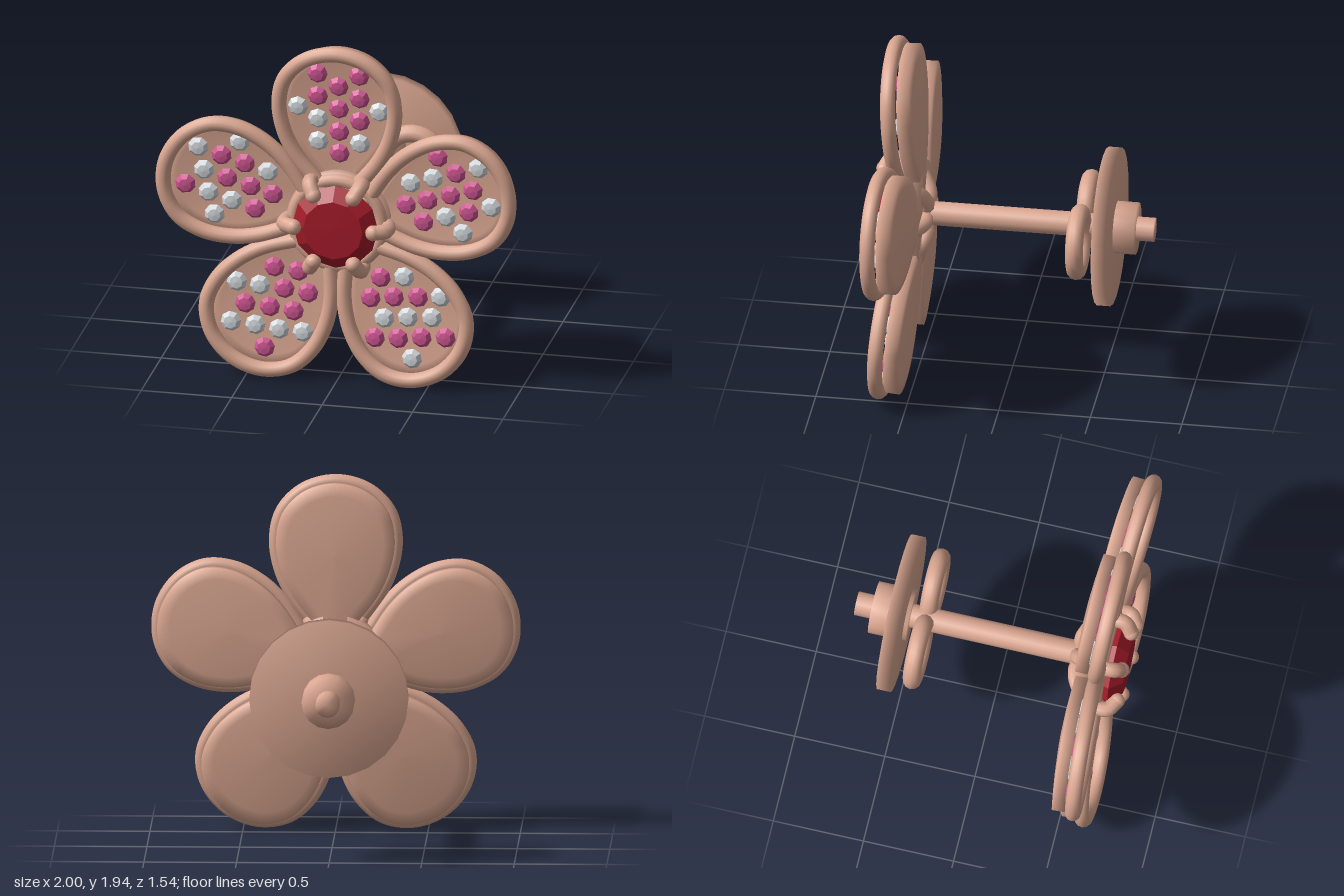
import * as THREE from 'three';
import { mergeVertices } from 'three/addons/utils/BufferGeometryUtils.js';

const mat = (name, color, flatShading = false) => {
  const m = new THREE.MeshStandardMaterial({ color, flatShading });
  m.name = name;
  return m;
};

function add(parent, name, geometry, material, x = 0, y = 0, z = 0) {
  const mesh = new THREE.Mesh(geometry, material);
  mesh.name = name;
  mesh.position.set(x, y, z);
  parent.add(mesh);
  return mesh;
}

// cylinder along z between two depths, with normals blended over its edges
function rod(radius, z0, z1, sides) {
  const g = new THREE.CylinderGeometry(radius, radius, z1 - z0, sides);
  g.rotateX(Math.PI / 2).translate(0, 0, (z0 + z1) / 2);
  g.deleteAttribute('normal');
  g.deleteAttribute('uv');
  const welded = mergeVertices(g);
  welded.computeVertexNormals();
  return welded;
}

// faceted stone facing +z, from [radius, depth] pairs
function cutStone(profile, sides) {
  const g = new THREE.LatheGeometry(profile.map(([r, z]) => new THREE.Vector2(r, z)), sides);
  return g.rotateX(Math.PI / 2);
}

// teardrop centre line of the rim, counterclockwise from the outer end
function petalCurve() {
  const half = [[0.17, 0.945], [0.285, 0.83], [0.32, 0.68], [0.295, 0.52], [0.23, 0.38], [0.13, 0.25], [0.03, 0.14]];
  const left = half.map(([x, y]) => new THREE.Vector3(-x, y, 0));
  const right = half.map(([x, y]) => new THREE.Vector3(x, y, 0)).reverse();
  return new THREE.CatmullRomCurve3([new THREE.Vector3(0, 0.99, 0), ...left, ...right], true);
}

// shallow dish: front rings run outwards, back rings run inwards
function petalDish(curve) {
  const n = 72, midY = 0.6;
  const outline = curve.getSpacedPoints(n).slice(0, n);
  const steps = [0, 0.3, 0.6, 0.82, 1];
  const rings = [
    ...steps.map(s => [s, -0.047 - 0.02 * (1 - s * s)]),
    ...steps.slice().reverse().map(s => [s, -0.114 - 0.022 * (1 - s * s)]),
  ];
  const pos = [], index = [];
  rings.forEach(([s, z], j) => outline.forEach((p, i) => {
    pos.push(p.x * s, midY + (p.y - midY) * s, z);
    if (j === rings.length - 1) return;
    const a = j * n + i, b = j * n + (i + 1) % n;
    index.push(a, a + n, b + n, a, b + n, b);
  }));
  const g = new THREE.BufferGeometry();
  g.setAttribute('position', new THREE.Float32BufferAttribute(pos, 3));
  g.setIndex(index);
  g.computeVertexNormals();
  return g;
}

export function createModel() {
  const gold = mat('rose gold', 0xdba791);
  const red = mat('red stone', 0xa51b2a, true);
  const pink = mat('pink stone', 0xcd5591, true);
  const white = mat('white stone', 0xd3d8dc, true);

  const model = new THREE.Group();
  model.name = 'flowerEarring';
  const flower = new THREE.Group();
  flower.name = 'flower';
  flower.position.y = 0.91;
  model.add(flower);

  // five petals, clockwise from the top, each with fourteen stones
  const curve = petalCurve();
  const rimGeo = new THREE.TubeGeometry(curve, 96, 0.042, 12, true);
  const dishGeo = petalDish(curve);
  const gemGeo = cutStone([[0, -0.03], [0.057, 0.005], [0.036, 0.033], [0, 0.037]], 8);
  const column = (x, ys) => ys.map(y => [x, y]);
  const side = [0.85, 0.717, 0.583, 0.45];
  const slots = [
    [-0.225, 0.647], ...column(-0.115, side),
    ...column(0, [0.78, 0.647, 0.513, 0.385]),
    ...column(0.115, side), [0.225, 0.647],
  ];
  const patterns = ['WPPWWPPPPPPPWW', 'PWPWWPPPPWPWPW', 'WPWPWPWPPWPWPP', 'WPWPPWPPPWPWPW', 'WPWWPWPPPWPPWW'];
  patterns.forEach((pattern, i) => {
    const spoke = new THREE.Group();
    spoke.name = 'petalSpoke';
    spoke.rotation.z = -i * Math.PI * 2 / 5;
    flower.add(spoke);
    const petal = new THREE.Group();
    petal.name = 'petal';
    petal.position.z = 0.587;
    petal.rotation.x = 0.065;
    spoke.add(petal);
    add(petal, 'petalRim', rimGeo, gold);
    add(petal, 'petalDish', dishGeo, gold);
    slots.forEach(([x, y], k) =>
      add(petal, 'petalStone', gemGeo, pattern[k] === 'P' ? pink : white, x, y, -0.052));
  });

  // centre setting and main stone
  add(flower, 'settingDisc', rod(0.285, 0.483, 0.6, 40), gold);
  add(flower, 'settingRing', new THREE.TorusGeometry(0.245, 0.035, 10, 40), gold, 0, 0, 0.61);
  add(flower, 'mainStone',
    cutStone([[0, 0.52], [0.225, 0.64], [0.237, 0.67], [0.165, 0.735], [0, 0.738]], 12), red);

  // six claws wrapping from the back of the setting onto the stone
  const clawCurve = new THREE.CatmullRomCurve3(
    [[0.03, 0.48], [0.1, 0.462], [0.19, 0.5], [0.27, 0.59], [0.28, 0.68], [0.22, 0.722]]
      .map(([r, z]) => new THREE.Vector3(r, 0, z)));
  const clawGeo = new THREE.TubeGeometry(clawCurve, 28, 0.042, 10);
  const tipGeo = new THREE.SphereGeometry(0.043, 12, 8);
  for (let i = 0; i < 6; i++) {
    const claw = new THREE.Group();
    claw.name = 'claw';
    claw.rotation.z = i * Math.PI / 3;
    flower.add(claw);
    add(claw, 'clawArm', clawGeo, gold);
    add(claw, 'clawTip', tipGeo, gold, 0.22, 0, 0.722);
  }

  // post with its clasp
  add(flower, 'post', rod(0.066, -0.775, 0.5, 16), gold);
  add(flower, 'claspDisc', rod(0.43, -0.565, -0.49, 24), gold);
  add(flower, 'claspCollar', rod(0.143, -0.68, -0.47, 16), gold);
  const loopGeo = new THREE.TorusGeometry(0.158, 0.049, 12, 32);
  for (const s of [-1, 1]) add(flower, 'claspLoop', loopGeo, gold, s * 0.195, 0, -0.387);

  return model;
}
